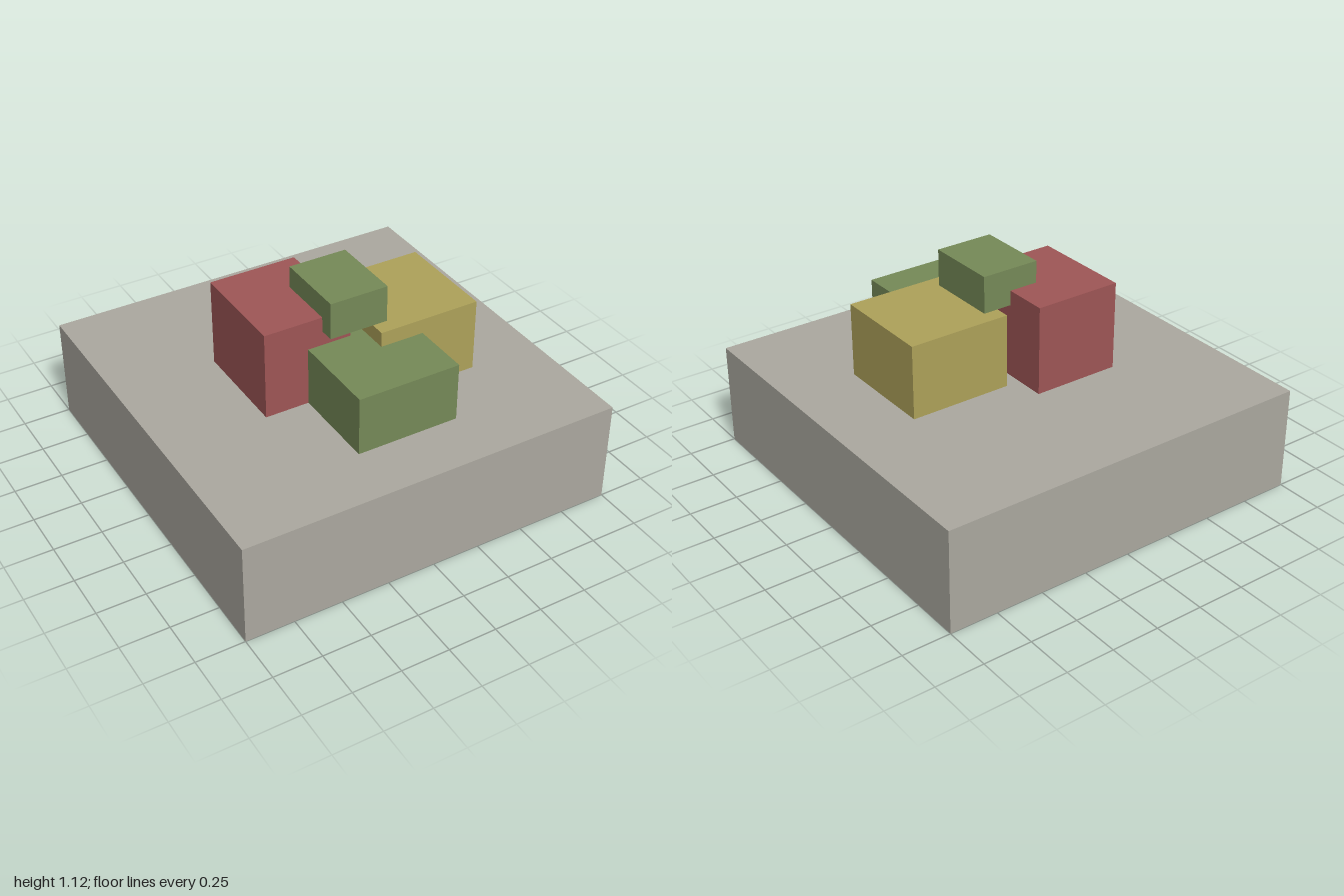
import * as THREE from 'three';

const U = 1 / 13; // grid unit shared by all blocks

function material(name, color) {
  const m = new THREE.MeshStandardMaterial({ color });
  m.name = name;
  return m;
}

// Box spanning two corners, given in grid units
function block(name, mat, [x0, y0, z0], [x1, y1, z1]) {
  const geometry = new THREE.BoxGeometry((x1 - x0) * U, (y1 - y0) * U, (z1 - z0) * U);
  const mesh = new THREE.Mesh(geometry, mat);
  mesh.name = name;
  mesh.position.set((x0 + x1) / 2 * U, (y0 + y1) / 2 * U, (z0 + z1) / 2 * U);
  return mesh;
}

export function createModel() {
  const stone = material('stone grey', 0xaca9a0);
  const red = material('brick red', 0x9f5656);
  const green = material('moss green', 0x768a58);
  const yellow = material('ochre yellow', 0xaea25a);

  const model = new THREE.Group();
  model.name = 'blocksOnSlab';
  model.add(
    // Thick square slab
    block('baseSlab', stone, [-13, 0, -13], [13, 7, 13]),
    // Three blocks resting on the slab
    block('redBlock', red, [-6, 7, -4], [0, 13, 3]),
    block('yellowBlock', yellow, [1, 7, -2], [8, 12, 5]),
    block('frontGreenBlock', green, [-3, 7, 2], [4, 11, 9]),
    // Small block bridging the red and yellow ones
    block('topGreenBlock', green, [-2, 12, -1], [2, 14.5, 4]),
  );
  return model;
}
